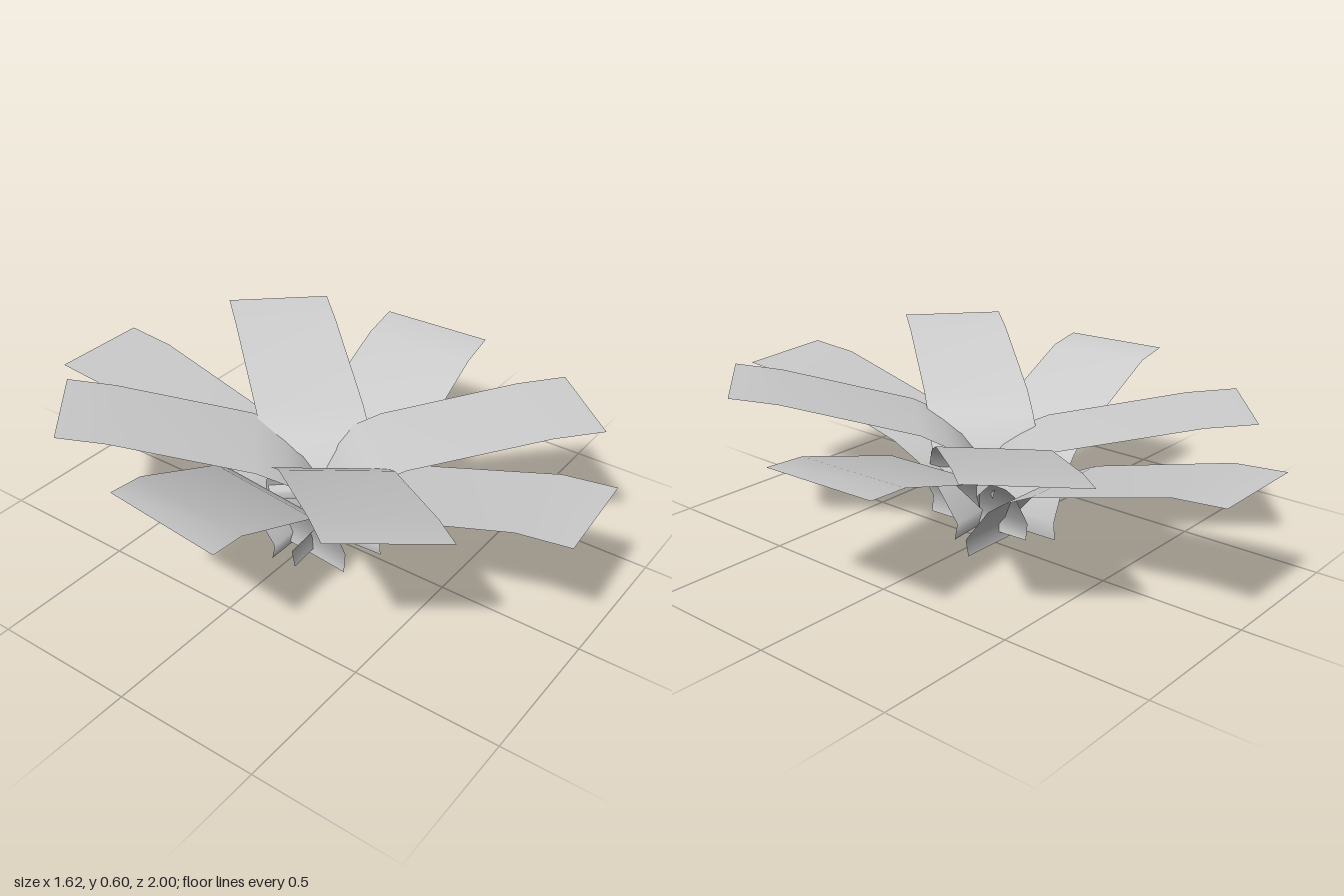
import * as THREE from 'three';

// Leaf profiles: [fraction of reach, fraction of rise], root to tip
const LOWER = [[0, 0], [-0.012, 0.13], [0.09, 0.42], [0.16, 0.53], [0.275, 0.65], [0.81, 0.965], [1, 1]];
const UPPER = [[0, 0], [-0.012, 0.13], [0.09, 0.41], [0.16, 0.51], [0.275, 0.64], [0.81, 0.94], [1, 1]];

// Each leaf: two tip corners [x, y, z] and the middle of its root [x, y, z]
const LEAVES = [
  // lower tier, pointing along the axes
  { name: 'frontLeaf', profile: LOWER, a: [-0.165, 0.5, 1.0], b: [0.19, 0.495, 0.97], root: [-0.06, 0.03, 0.05] },
  { name: 'leftLeaf', profile: LOWER, a: [0.81, 0.47, 0.155], b: [0.79, 0.47, -0.26], root: [-0.02, 0.03, 0.05] },
  { name: 'backLeaf', profile: LOWER, a: [0.145, 0.44, -1.0], b: [-0.215, 0.44, -1.0], root: [-0.035, 0, -0.05] },
  { name: 'rightLeaf', profile: LOWER, a: [-0.79, 0.55, -0.18], b: [-0.815, 0.53, 0.235], root: [-0.12, 0.012, -0.015] },
  // upper tier, pointing along the diagonals
  { name: 'frontLeftLeaf', profile: UPPER, a: [0.365, 0.555, 0.84], b: [0.615, 0.545, 0.57], root: [-0.056, 0.2, 0.043] },
  { name: 'backLeftLeaf', profile: UPPER, a: [0.655, 0.53, -0.46], b: [0.42, 0.52, -0.75], root: [-0.035, 0.19, 0.035] },
  { name: 'backRightLeaf', profile: UPPER, a: [-0.36, 0.51, -0.82], b: [-0.645, 0.51, -0.58], root: [-0.01, 0.18, 0.03] },
  { name: 'frontRightLeaf', profile: UPPER, a: [-0.67, 0.6, 0.495], b: [-0.44, 0.585, 0.78], root: [-0.045, 0.195, 0.03] },
];

// Strip of constant width swept along the profile from root to tip
function leafGeometry({ profile, a, b, root }) {
  const tipA = new THREE.Vector3(...a), tipB = new THREE.Vector3(...b);
  const tip = tipA.clone().add(tipB).multiplyScalar(0.5);
  const half = tipB.clone().sub(tipA).multiplyScalar(0.5);
  const base = new THREE.Vector3(...root);
  const positions = [], indices = [];
  profile.forEach(([t, rise], i) => {
    const mid = new THREE.Vector3(
      THREE.MathUtils.lerp(base.x, tip.x, t),
      THREE.MathUtils.lerp(base.y, tip.y, rise),
      THREE.MathUtils.lerp(base.z, tip.z, t));
    positions.push(...mid.clone().sub(half), ...mid.clone().add(half));
    if (i > 0) {
      const k = 2 * i;
      indices.push(k - 2, k, k - 1, k - 1, k, k + 1);
    }
  });
  const geometry = new THREE.BufferGeometry();
  geometry.setAttribute('position', new THREE.Float32BufferAttribute(positions, 3));
  geometry.setIndex(indices);
  geometry.computeVertexNormals();
  return geometry;
}

export function createModel() {
  const model = new THREE.Group();
  model.name = 'leafRosette';
  const leafGrey = new THREE.MeshStandardMaterial({ color: 0xcccccc, side: THREE.DoubleSide });
  leafGrey.name = 'leafGrey';

  // Two tiers of four arching leaves
  for (const leaf of LEAVES) {
    const mesh = new THREE.Mesh(leafGeometry(leaf), leafGrey);
    mesh.name = leaf.name;
    model.add(mesh);
  }
  return model;
}
